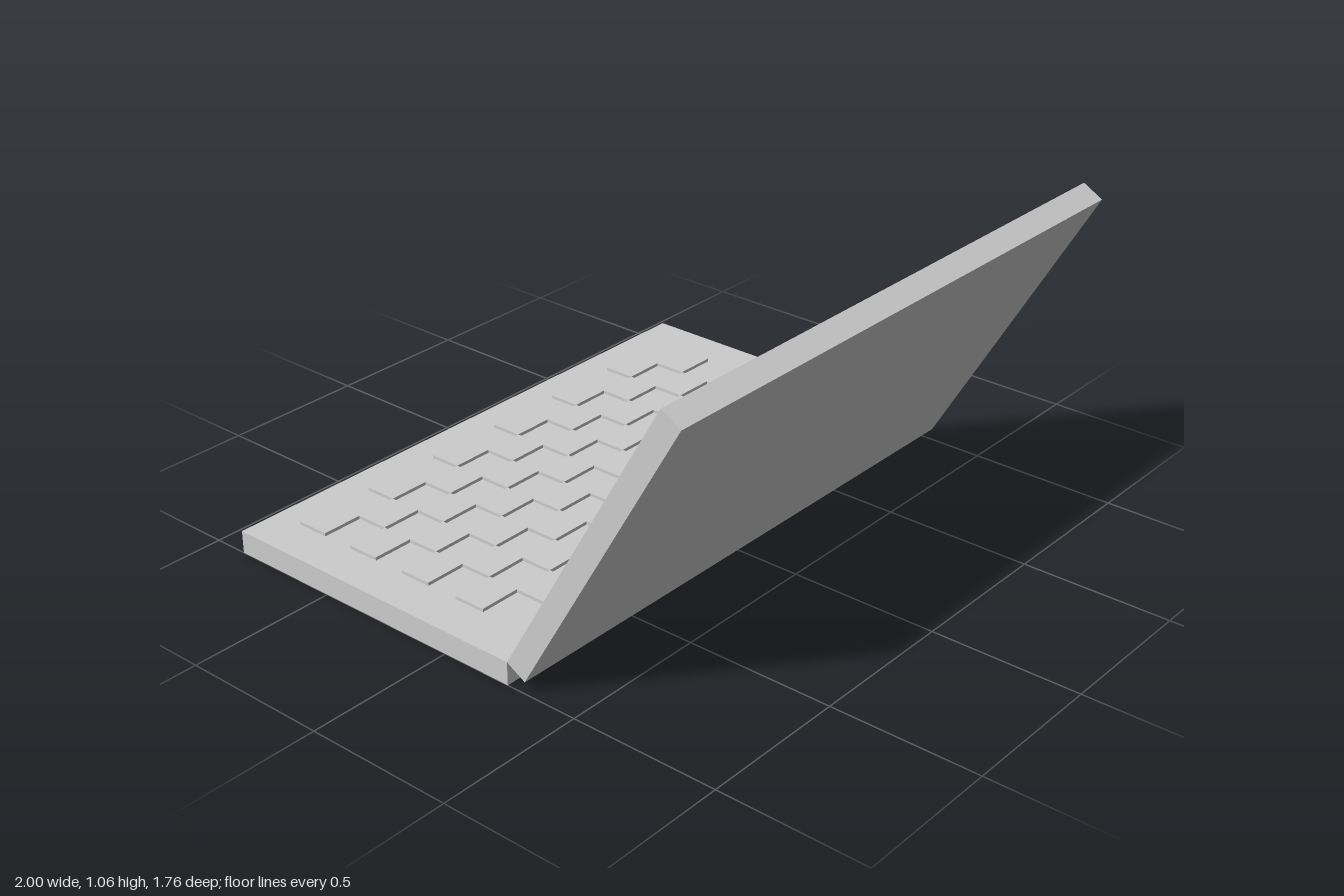
import * as THREE from 'three';

const grey = new THREE.MeshStandardMaterial({ color: 0xcccccc, flatShading: true });

const THICK = 0.077;   // thickness of both halves
const LENGTH = 1.13;   // depth of the base, height of the lid
const HINGE_Z = 0.249;
const STEP = 0.012;    // key height and depth of the lid recesses

function add(parent, name, geometry, x = 0, y = 0, z = 0) {
  const mesh = new THREE.Mesh(geometry, grey);
  mesh.name = name;
  mesh.position.set(x, y, z);
  parent.add(mesh);
  return mesh;
}

// Corners of a rectangle centred on x = 0, from y0 up to y1
function rect(halfWidth, y0, y1) {
  return [[-halfWidth, y0], [halfWidth, y0], [halfWidth, y1], [-halfWidth, y1]]
    .map(([x, y]) => new THREE.Vector2(x, y));
}

// Flat rectangular ring with the depth of the recess
function ring(outer, inner) {
  const shape = new THREE.Shape(outer);
  shape.holes.push(new THREE.Path(inner));
  return new THREE.ExtrudeGeometry(shape, { depth: STEP, bevelEnabled: false });
}

export function createModel() {
  const model = new THREE.Group();
  model.name = 'laptop';

  // Base slab
  add(model, 'base', new THREE.BoxGeometry(2, THICK, LENGTH), 0, THICK / 2, HINGE_Z - LENGTH / 2);

  // Keys in a checkerboard of 12 columns and 8 rows
  const keyboard = new THREE.Group();
  keyboard.name = 'keyboard';
  model.add(keyboard);
  const pitchX = 0.1427, pitchZ = 0.1125;
  const keyGeometry = new THREE.BoxGeometry(pitchX, STEP, pitchZ);
  for (let row = 0; row < 8; row++) {
    for (let col = row % 2; col < 12; col += 2) {
      add(keyboard, 'key', keyGeometry,
        (col - 5.5) * pitchX, THICK + STEP / 2 - 0.001, -0.773 + (row + 0.5) * pitchZ);
    }
  }

  // Lid, leaning back 30 degrees from its hinge edge
  const lid = new THREE.Group();
  lid.name = 'lid';
  lid.position.set(0, THICK, HINGE_Z);
  lid.rotation.x = Math.PI / 6;
  model.add(lid);

  // The back panel is also the floor of the groove and the screen
  add(lid, 'lidPanel', new THREE.BoxGeometry(2, LENGTH, THICK - STEP), 0, LENGTH / 2, (THICK + STEP) / 2);

  // Outer rim and inner bezel, with a narrow groove between them
  add(lid, 'lidRim', ring(rect(1, 0, LENGTH), rect(0.97, 0.025, LENGTH - 0.025)));
  add(lid, 'screenBezel', ring(rect(0.958, 0.037, LENGTH - 0.037), rect(0.91, 0.08, LENGTH - 0.08)));

  return model;
}
